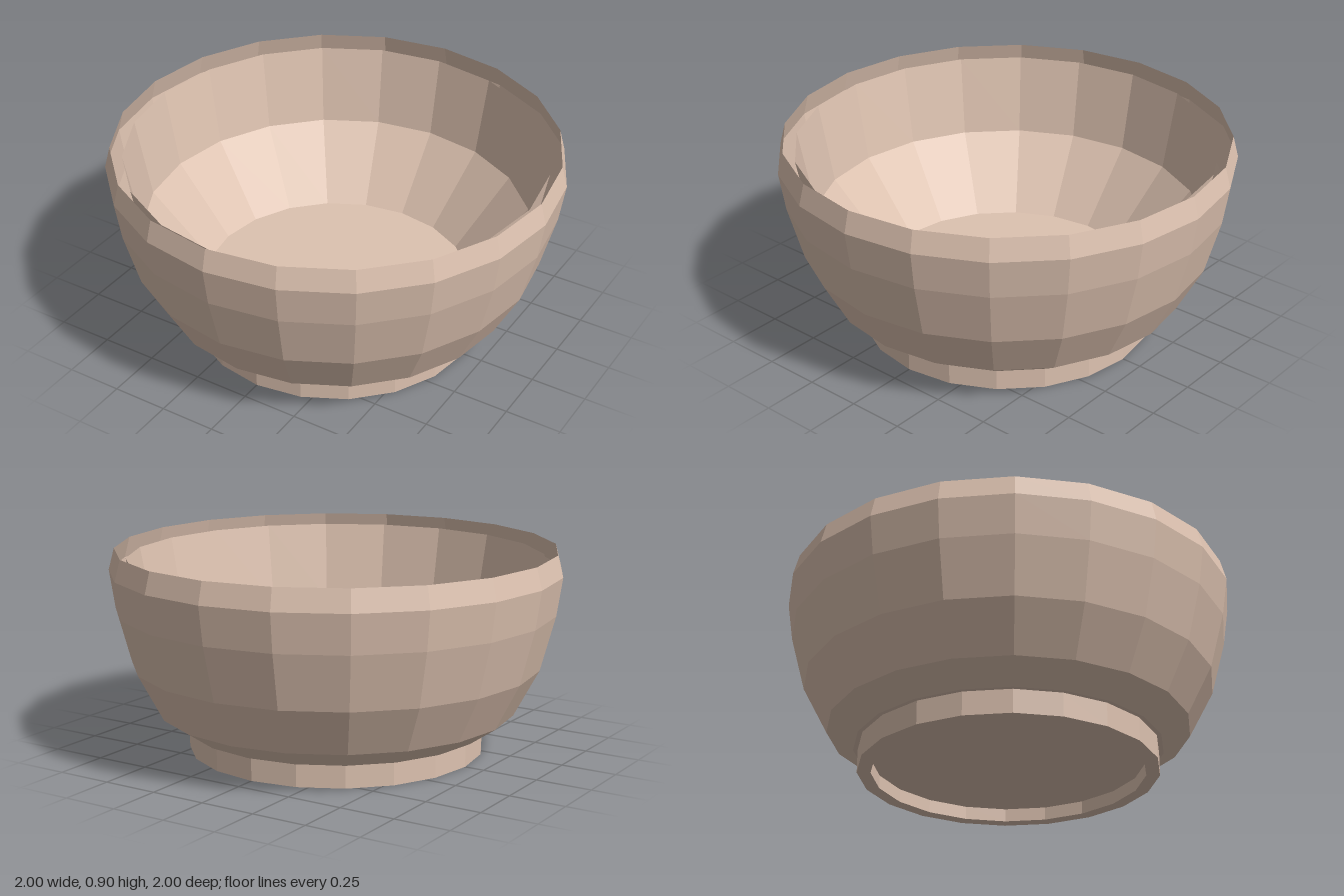
import * as THREE from 'three';

const SIDES = 20;

export function createModel() {
  const group = new THREE.Group();
  group.name = 'bowl';
  const material = new THREE.MeshStandardMaterial({
    color: 0xddc2b0, flatShading: true, side: THREE.DoubleSide,
  });

  // Spins a [radius, height] profile around the vertical axis
  const turn = (name, profile) => {
    const points = profile.map(([r, y]) => new THREE.Vector2(r, y));
    const mesh = new THREE.Mesh(new THREE.LatheGeometry(points, SIDES), material);
    mesh.name = name;
    group.add(mesh);
  };

  // Foot ring with a recessed underside
  turn('foot', [[0, 0.06], [0.6, 0.06], [0.6, 0], [0.66, 0], [0.66, 0.105]]);

  // Outer shell: closed bottom resting on the foot, rounded wall, open top edge
  turn('outerShell', [
    [0, 0.105], [0.68, 0.105], [0.8, 0.187], [0.91, 0.395],
    [0.975, 0.64], [1, 0.81], [0.975, 0.905],
  ]);

  // Inner shell, set apart from the outer one by an open gap at the top
  turn('innerShell', [[0.925, 0.86], [0.86, 0.5], [0.6, 0.182], [0, 0.182]]);

  return group;
}
